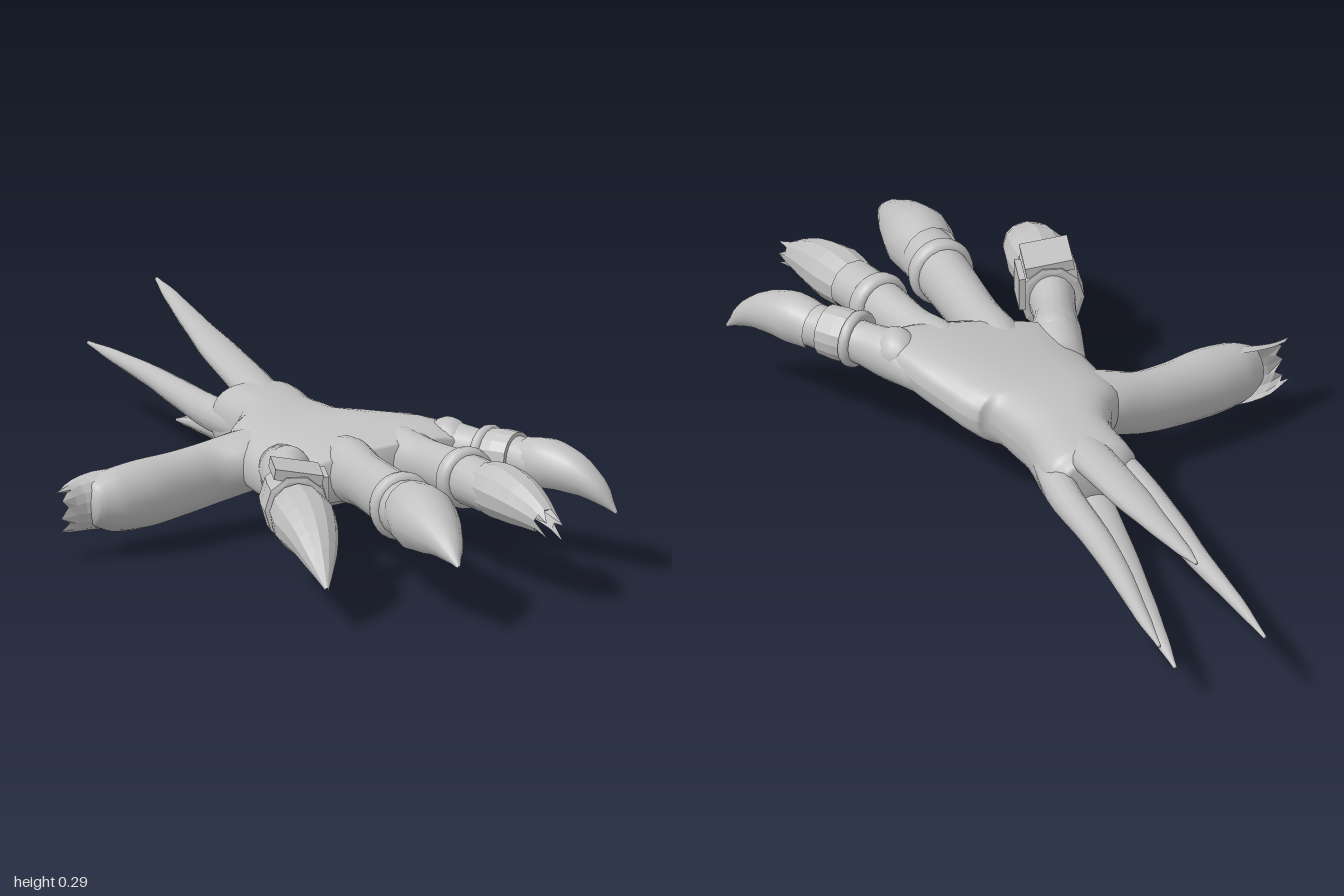
import * as THREE from 'three';

const TAU = Math.PI * 2;
const skin = new THREE.MeshStandardMaterial({ color: 0xc0c0c0, side: THREE.DoubleSide });
skin.name = 'grey';

// Sweeps rounded sections [x, y, z, halfWidth, halfHeight] along a smooth path.
// pow < 1 squares the section, arc opens it into a shell, jag breaks the far edge.
function loft(stations, { sides = 20, sub = 4, pow = 1, arc = null, jag = 0, flat = false } = {}) {
  const path = new THREE.CatmullRomCurve3(stations.map(s => new THREE.Vector3(s[0], s[1], s[2])), false, 'centripetal');
  const size = new THREE.CatmullRomCurve3(stations.map(s => new THREE.Vector3(s[3], s[4], 0)), false, 'catmullrom', 0.3);
  const n = (stations.length - 1) * sub;
  const [a0, a1] = arc || [0, TAU];
  const pos = [], idx = [], up = new THREE.Vector3(0, 1, 0);
  const soft = v => Math.sign(v) * Math.abs(v) ** pow;
  const row = sides + 1;
  for (let i = 0; i <= n; i++) {
    const c = path.getPoint(i / n), r = size.getPoint(i / n), t = path.getTangent(i / n);
    const s = new THREE.Vector3().crossVectors(up, t).normalize();
    const u = new THREE.Vector3().crossVectors(t, s);
    for (let k = 0; k <= sides; k++) {
      const a = a0 + (a1 - a0) * (!arc && k === sides ? 0 : k / sides);
      const p = c.clone()
        .addScaledVector(s, Math.max(r.x, 0.001) * soft(Math.cos(a)))
        .addScaledVector(u, Math.max(r.y, 0.001) * soft(Math.sin(a)));
      if (i === n && jag) p.addScaledVector(t, jag * [1, -0.6, 0.4, -1][k % 4]);
      pos.push(p.x, p.y, p.z);
    }
  }
  for (let i = 0; i < n; i++) for (let k = 0; k < sides; k++) {
    const a = i * row + k, b = a + 1, c = a + row, d = c + 1;
    idx.push(a, b, d, a, d, c);
  }
  if (!arc) { // end caps
    for (const i of [0, n]) {
      const c = path.getPoint(i / n), m = pos.length / 3;
      pos.push(c.x, c.y, c.z);
      for (let k = 0; k < sides; k++) {
        const a = i * row + k;
        if (i) idx.push(m, a, a + 1); else idx.push(m, a + 1, a);
      }
    }
  }
  let g = new THREE.BufferGeometry();
  g.setAttribute('position', new THREE.Float32BufferAttribute(pos, 3));
  g.setIndex(idx);
  if (flat) g = g.toNonIndexed();
  g.computeVertexNormals();
  if (!flat && !arc) { // hide the shading seam of closed sections
    const nr = g.attributes.normal;
    for (let i = 0; i <= n; i++) {
      const a = i * row, b = a + sides;
      const v = new THREE.Vector3().fromBufferAttribute(nr, a).add(new THREE.Vector3().fromBufferAttribute(nr, b)).normalize();
      nr.setXYZ(a, v.x, v.y, v.z);
      nr.setXYZ(b, v.x, v.y, v.z);
    }
  }
  return g;
}

// Hollow band around a finger: an outer and inner profile swept between two centres
function band(from, to, w, h, thick, opts = {}) {
  const at = (f, k) => [0, 1, 2].map(i => from[i] + (to[i] - from[i]) * f).concat(w * k, h * k);
  const k = 1 - thick;
  return loft([at(0, k), at(0.02, 0.98), at(0.5, 1.03), at(0.98, 0.98), at(1, k)], { sides: 16, sub: 1, ...opts });
}

export function createModel() {
  const hand = new THREE.Group();
  hand.name = 'clawedHand';
  const add = (name, g) => {
    const m = new THREE.Mesh(g, skin);
    m.name = name;
    hand.add(m);
    return m;
  };

  // Palm and wrist, rolled so the thumb side sits lower
  const palm = loft([
    [0.06, 0.16, -0.3, 0.07, 0.05], [0.06, 0.16, -0.26, 0.1, 0.075], [0.06, 0.165, -0.13, 0.092, 0.075],
    [0.055, 0.17, -0.05, 0.115, 0.074], [0.05, 0.172, 0.02, 0.155, 0.072], [0.075, 0.175, 0.12, 0.18, 0.072],
    [0.1, 0.178, 0.22, 0.2, 0.07], [0.11, 0.18, 0.29, 0.212, 0.063], [0.11, 0.18, 0.335, 0.185, 0.045],
  ], { sides: 32, pow: 0.75 });
  const p = palm.attributes.position;
  for (let i = 0; i < p.count; i++) {
    const f = THREE.MathUtils.smoothstep(p.getZ(i), -0.1, 0.2);
    p.setY(i, p.getY(i) + 0.15 * f * (p.getX(i) - 0.07));
  }
  palm.computeVertexNormals();
  add('palm', palm);

  // Four long spikes trailing from the wrist
  const spikes = {
    rightSpike: [[0.01, 0.165, -0.15, 0.04, 0.04], [-0.015, 0.16, -0.3, 0.036, 0.036], [-0.026, 0.158, -0.5, 0.031, 0.028], [-0.03, 0.155, -0.66, 0.024, 0.022], [-0.043, 0.15, -0.85, 0.015, 0.014], [-0.05, 0.143, -1, 0.004, 0.004]],
    leftSpike: [[0.11, 0.165, -0.15, 0.04, 0.04], [0.137, 0.16, -0.3, 0.035, 0.036], [0.138, 0.16, -0.5, 0.03, 0.028], [0.146, 0.16, -0.66, 0.025, 0.022], [0.162, 0.155, -0.85, 0.015, 0.014], [0.17, 0.15, -0.975, 0.004, 0.004]],
    upperSpike: [[0.06, 0.19, -0.15, 0.05, 0.04], [0.063, 0.215, -0.3, 0.045, 0.03], [0.062, 0.237, -0.5, 0.04, 0.024], [0.063, 0.256, -0.66, 0.028, 0.018], [0.065, 0.278, -0.82, 0.016, 0.012], [0.066, 0.29, -0.91, 0.004, 0.004]],
    lowerSpike: [[0.06, 0.14, -0.15, 0.05, 0.04], [0.066, 0.105, -0.3, 0.045, 0.034], [0.072, 0.08, -0.45, 0.04, 0.028], [0.078, 0.052, -0.62, 0.028, 0.02], [0.081, 0.03, -0.74, 0.016, 0.012], [0.083, 0.011, -0.83, 0.004, 0.004]],
  };
  for (const [name, s] of Object.entries(spikes)) add(name, loft(s, { sides: 14 }));

  // Fingers and thumb
  const fingers = {
    indexFinger: [[-0.04, 0.17, 0.18, 0.05, 0.05], [-0.065, 0.175, 0.29, 0.054, 0.067], [-0.095, 0.178, 0.38, 0.044, 0.056], [-0.125, 0.18, 0.5, 0.052, 0.06], [-0.142, 0.172, 0.6, 0.055, 0.055], [-0.152, 0.155, 0.67, 0.045, 0.043], [-0.158, 0.14, 0.71, 0.01, 0.012]],
    middleFinger: [[0.065, 0.18, 0.18, 0.05, 0.05], [0.065, 0.185, 0.29, 0.058, 0.068], [0.065, 0.188, 0.4, 0.05, 0.058], [0.065, 0.19, 0.55, 0.053, 0.06], [0.065, 0.188, 0.7, 0.06, 0.06], [0.065, 0.178, 0.8, 0.05, 0.045], [0.065, 0.17, 0.85, 0.01, 0.012]],
    ringFinger: [[0.17, 0.19, 0.18, 0.05, 0.045], [0.187, 0.198, 0.29, 0.053, 0.062], [0.212, 0.203, 0.38, 0.045, 0.052], [0.24, 0.207, 0.51, 0.05, 0.053], [0.264, 0.205, 0.62, 0.053, 0.05], [0.285, 0.195, 0.7, 0.044, 0.04], [0.298, 0.185, 0.75, 0.01, 0.012]],
    littleFinger: [[0.24, 0.2, 0.18, 0.05, 0.04], [0.295, 0.21, 0.285, 0.048, 0.053], [0.335, 0.213, 0.35, 0.042, 0.046], [0.375, 0.215, 0.41, 0.044, 0.047], [0.415, 0.21, 0.48, 0.046, 0.044], [0.45, 0.2, 0.54, 0.036, 0.035], [0.468, 0.19, 0.57, 0.008, 0.01]],
    thumb: [[0.04, 0.17, 0.04, 0.06, 0.05], [-0.06, 0.158, 0.045, 0.078, 0.062], [-0.15, 0.137, 0.05, 0.058, 0.066], [-0.23, 0.127, 0.075, 0.06, 0.068], [-0.32, 0.122, 0.11, 0.067, 0.071], [-0.39, 0.12, 0.132, 0.06, 0.066], [-0.44, 0.12, 0.148, 0.038, 0.045], [-0.455, 0.12, 0.152, 0.008, 0.01]],
  };
  for (const [name, s] of Object.entries(fingers)) add(name, loft(s, { sides: 18 }));

  // Rounded knuckles over the finger roots
  [[-0.062, 0.193, 0.285], [0.065, 0.2, 0.29], [0.187, 0.212, 0.285], [0.287, 0.222, 0.275]].forEach(([x, y, z], i) => {
    const m = add('knuckle' + (i + 1), new THREE.SphereGeometry(1, 16, 12));
    m.position.set(x, y, z);
    m.scale.set(0.045, 0.05, 0.06);
  });

  // Claws: curved shells capping each fingertip
  const arc = [-0.9, Math.PI + 0.9];
  add('indexClaw', loft([
    [-0.14, 0.18, 0.57, 0.06, 0.062], [-0.15, 0.178, 0.64, 0.066, 0.064], [-0.157, 0.165, 0.71, 0.054, 0.052],
    [-0.166, 0.138, 0.78, 0.036, 0.034], [-0.178, 0.092, 0.86, 0.004, 0.004]], { sides: 10, sub: 2, arc, flat: true }));
  add('middleClaw', loft([
    [0.065, 0.194, 0.685, 0.06, 0.066], [0.065, 0.195, 0.76, 0.07, 0.07], [0.065, 0.19, 0.83, 0.057, 0.056],
    [0.065, 0.178, 0.91, 0.034, 0.032], [0.062, 0.15, 0.99, 0.003, 0.003]], { sides: 12, sub: 3, arc }));
  add('ringClaw', loft([
    [0.264, 0.208, 0.6, 0.054, 0.054], [0.278, 0.208, 0.66, 0.061, 0.058], [0.294, 0.2, 0.73, 0.05, 0.05],
    [0.308, 0.187, 0.79, 0.034, 0.035], [0.315, 0.176, 0.825, 0.024, 0.024]], { sides: 9, sub: 2, arc, jag: 0.035, flat: true }));
  add('littleClaw', loft([
    [0.4, 0.213, 0.445, 0.045, 0.05], [0.428, 0.215, 0.495, 0.052, 0.054], [0.46, 0.207, 0.55, 0.044, 0.045],
    [0.493, 0.183, 0.6, 0.028, 0.028], [0.523, 0.14, 0.642, 0.003, 0.003]], { sides: 12, sub: 3, arc }));
  // Thumb claw sits on the outer side of the tip, with a broken end
  add('thumbClaw', loft([
    [-0.36, 0.12, 0.118, 0.062, 0.062], [-0.42, 0.119, 0.118, 0.055, 0.06], [-0.47, 0.115, 0.132, 0.036, 0.055],
    [-0.515, 0.112, 0.163, 0.016, 0.046]], { sides: 9, sub: 2, arc: [Math.PI * 0.45, Math.PI * 1.6].map(a => a - Math.PI * 1.02), jag: 0.016, flat: true }));

  // Rings: a broad faceted cuff with a raised plate, two round bands, a double band
  add('indexCuff', band([-0.112, 0.183, 0.445], [-0.14, 0.183, 0.565], 0.068, 0.073, 0.15, { sides: 10, flat: true }));
  const plate = add('indexCuffPlate', new THREE.BoxGeometry(0.1, 0.022, 0.11));
  plate.position.set(-0.122, 0.25, 0.505);
  plate.rotation.set(0, -0.23, -0.16);
  const tab = add('indexCuffTab', new THREE.BoxGeometry(0.014, 0.07, 0.09));
  tab.position.set(-0.058, 0.205, 0.49);
  tab.rotation.y = -0.23;

  const roundBand = (name, [x, y, z], r, yaw, squash) => {
    const m = add(name, new THREE.TorusGeometry(r, 0.013, 10, 28));
    m.position.set(x, y, z);
    m.rotation.y = yaw;
    m.scale.set(1, squash, 1.7);
  };
  roundBand('middleRing', [0.065, 0.19, 0.625], 0.056, 0, 1.05);
  roundBand('ringFingerRing', [0.241, 0.207, 0.512], 0.052, 0.2, 1);
  add('littleRing', band([0.338, 0.214, 0.365], [0.385, 0.215, 0.425], 0.054, 0.055, 0.15, { flat: true }));
  add('littleRingLip', band([0.334, 0.214, 0.36], [0.346, 0.214, 0.376], 0.06, 0.059, 0.15));
  return hand;
}
